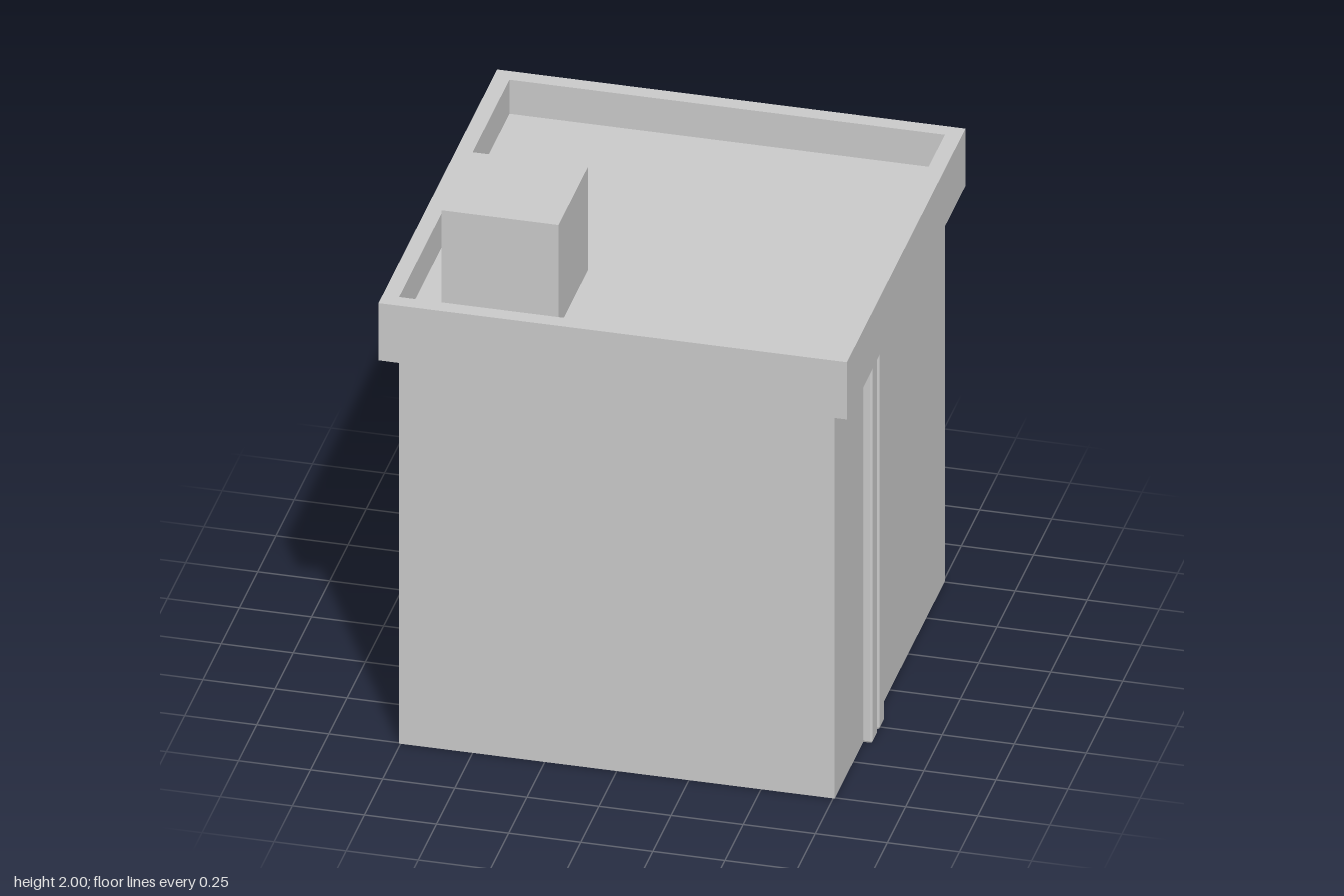
import * as THREE from 'three';
import { RoundedBoxGeometry } from 'three/addons/geometries/RoundedBoxGeometry.js';

const W = 0.755;          // half width of the walls
const WALL_TOP = 1.51;
const OVER = 0.812;       // half width of the parapet
const ROOF = 1.6;
const DOOR = { half: 0.66, top: 1.336, depth: 0.15 };

const solid = new THREE.MeshStandardMaterial({ color: 0xcccccc, flatShading: true });
const thin = new THREE.MeshStandardMaterial({ color: 0xcccccc, flatShading: true, side: THREE.DoubleSide });

function polygon(points) {
  return new THREE.Shape(points.map(([x, y]) => new THREE.Vector2(x, y)));
}

function square(half) {
  return polygon([[-half, -half], [half, -half], [half, half], [-half, half]]);
}

export function createModel() {
  const model = new THREE.Group();

  function add(parent, name, geometry, material, x = 0, y = 0, z = 0) {
    const mesh = new THREE.Mesh(geometry, material);
    mesh.name = name;
    mesh.position.set(x, y, z);
    parent.add(mesh);
    return mesh;
  }

  // Thin walls, open underneath
  const walls = new THREE.Group();
  walls.name = 'walls';
  model.add(walls);
  const wall = new THREE.PlaneGeometry(2 * W, WALL_TOP);
  add(walls, 'frontWall', wall, thin, 0, WALL_TOP / 2, W);
  for (const side of [1, -1]) {
    add(walls, side > 0 ? 'leftWall' : 'rightWall', wall, thin, side * W, WALL_TOP / 2, 0)
      .rotation.y = side * Math.PI / 2;
  }

  // Back wall with the shutter opening reaching the ground
  const { half, top, depth } = DOOR;
  const backShape = polygon([
    [-W, 0], [-half, 0], [-half, top], [half, top], [half, 0], [W, 0], [W, WALL_TOP], [-W, WALL_TOP],
  ]);
  add(walls, 'backWall', new THREE.ShapeGeometry(backShape), thin, 0, 0, -W).rotation.y = Math.PI;

  // Returns of the opening
  for (const side of [1, -1]) {
    add(walls, 'doorJamb', new THREE.PlaneGeometry(depth, top), thin, side * half, top / 2, -W + depth / 2)
      .rotation.y = -side * Math.PI / 2;
  }
  add(walls, 'doorLintel', new THREE.PlaneGeometry(2 * half, depth), thin, 0, top, -W + depth / 2)
    .rotation.x = Math.PI / 2;

  // Ribbed shutter, dented inwards along its middle, with a flat bottom lip
  const SLATS = 10;
  const rows = 2 * SLATS + 1;
  let shutter = new THREE.PlaneGeometry(2 * half, top, 2, rows);
  const pos = shutter.attributes.position;
  for (let i = 0; i < pos.count; i++) {
    const row = Math.floor(i / 3);
    const bend = i % 3 === 1 ? 0.095 : 0.025;
    const rib = row % 2 === 0 ? 0.045 : 0;
    pos.setY(i, top * (1 - Math.min(row / (2 * SLATS), 1)));
    pos.setZ(i, -W + bend + rib);
  }
  shutter = shutter.toNonIndexed();
  shutter.computeVertexNormals();
  add(model, 'shutter', shutter, thin);

  // Overhanging parapet ring and sunken roof
  const ring = square(OVER);
  ring.holes.push(square(W));
  const parapet = new THREE.ExtrudeGeometry(ring, { depth: 1.732 - WALL_TOP, bevelEnabled: false });
  add(model, 'parapet', parapet, solid, 0, WALL_TOP, 0).rotation.x = -Math.PI / 2;
  add(model, 'roof', new THREE.PlaneGeometry(2 * W, 2 * W), thin, 0, ROOF, 0).rotation.x = -Math.PI / 2;

  // Roof access housing: doorway frame with a sloping back inside
  const housing = new THREE.Group();
  housing.name = 'roofHousing';
  housing.position.set(-0.443, ROOF, 0.2);
  model.add(housing);
  const size = 0.405, h = 0.4, r = size / 2, doorHalf = 0.098, doorTop = 0.32;
  const frame = polygon([
    [-r, 0], [-doorHalf, 0], [-doorHalf, doorTop], [doorHalf, doorTop], [doorHalf, 0], [r, 0], [r, h], [-r, h],
  ]);
  add(housing, 'housingFrame', new THREE.ExtrudeGeometry(frame, { depth: size, bevelEnabled: false }), solid);
  const slope = polygon([[-size, 0], [-0.26, 0], [-0.2, doorTop], [-size, doorTop]]);
  add(housing, 'housingBack', new THREE.ExtrudeGeometry(slope, { depth: 2 * doorHalf, bevelEnabled: false }),
    solid, -doorHalf, 0, 0).rotation.y = Math.PI / 2;

  // Pair of bevelled ducts on the side wall
  for (const z of [0.333, 0.238]) {
    add(model, 'wallDuct', new RoundedBoxGeometry(0.04, WALL_TOP, 0.07, 1, 0.009), solid, 0.768, WALL_TOP / 2, z);
  }

  return model;
}
